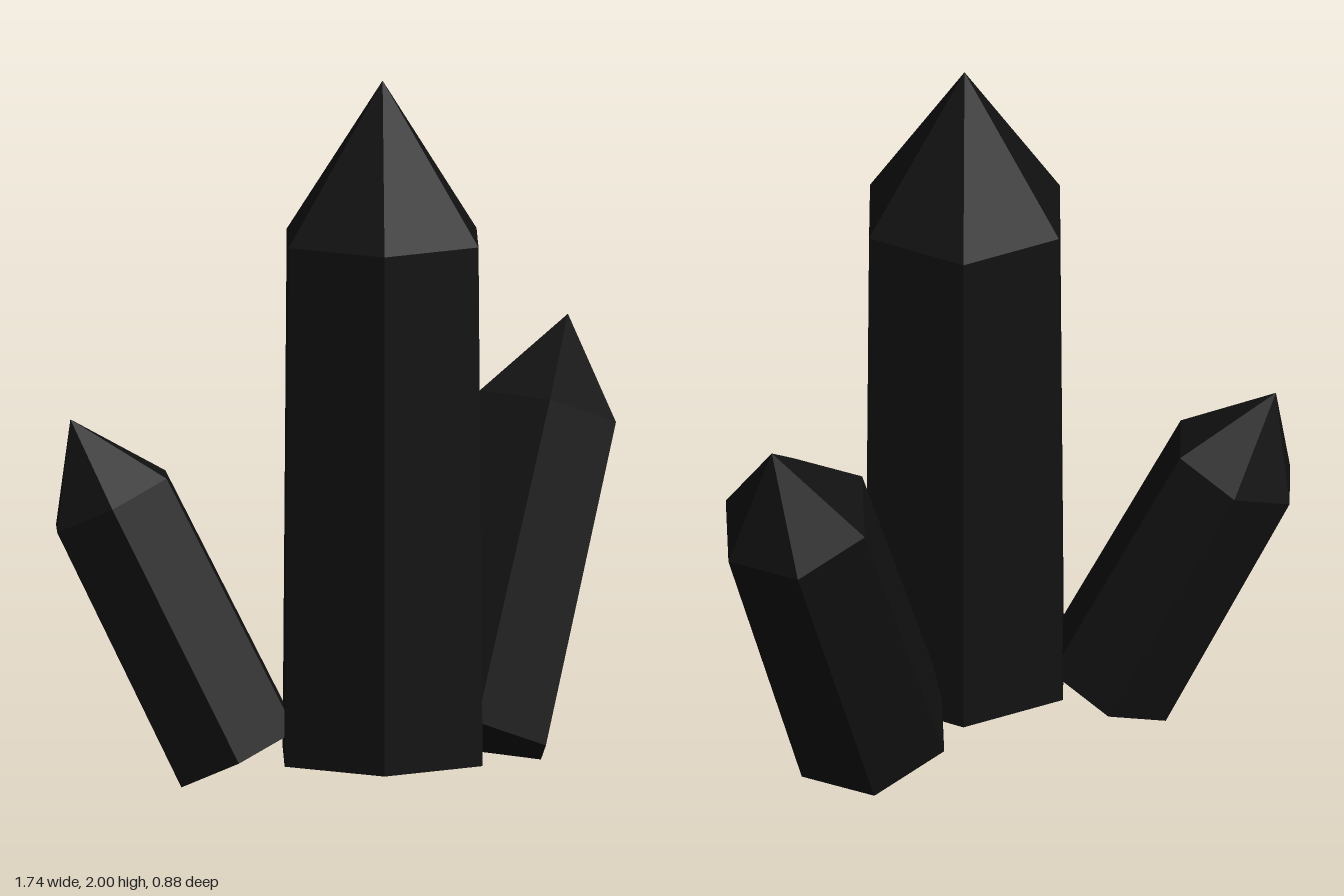
import * as THREE from 'three';

const material = new THREE.MeshStandardMaterial({ color: 0x111111, flatShading: true });

// Six-sided, slightly tapering prism with a pointed tip.
// base, shoulder and tip lie on the crystal's axis; ref points towards one of its edges.
function crystal(name, base, shoulder, tip, baseRadius, shoulderRadius, ref) {
  const foot = new THREE.Vector3(...base);
  const axis = new THREE.Vector3(...shoulder).sub(foot);
  const height = axis.length();
  const fullHeight = new THREE.Vector3(...tip).distanceTo(foot);
  axis.normalize();

  const profile = [
    [0, 0], [baseRadius, 0], [shoulderRadius, height], [0, fullHeight],
  ].map(([r, y]) => new THREE.Vector2(r, y));
  const geometry = new THREE.LatheGeometry(profile, 6, Math.PI / 2);

  // Lean the crystal along its axis
  const x = new THREE.Vector3(...ref);
  x.addScaledVector(axis, -x.dot(axis)).normalize();
  const z = new THREE.Vector3().crossVectors(x, axis);
  const mesh = new THREE.Mesh(geometry, material);
  mesh.name = name;
  mesh.quaternion.setFromRotationMatrix(new THREE.Matrix4().makeBasis(x, axis, z));
  mesh.position.copy(foot);
  return mesh;
}

export function createModel() {
  const group = new THREE.Group();
  group.name = 'crystalCluster';
  group.add(
    // Tall upright crystal
    crystal('mainCrystal', [-0.07, 0.09, 0.16], [-0.07, 1.555, 0.16], [-0.07, 2, 0.16],
      0.318, 0.305, [1, 0, 0]),
    // Leaning side crystals
    crystal('leftCrystal', [0.32, 0.085, -0.005], [0.66, 0.94, -0.175], [0.765, 1.203, -0.227],
      0.235, 0.225, [0.21, -0.08, 0.007]),
    crystal('rightCrystal', [-0.405, 0.09, -0.065], [-0.6875, 0.8, -0.2775], [-0.78, 1.03, -0.345],
      0.204, 0.196, [-0.1825, -0.07, 0.0125]),
  );
  return group;
}
